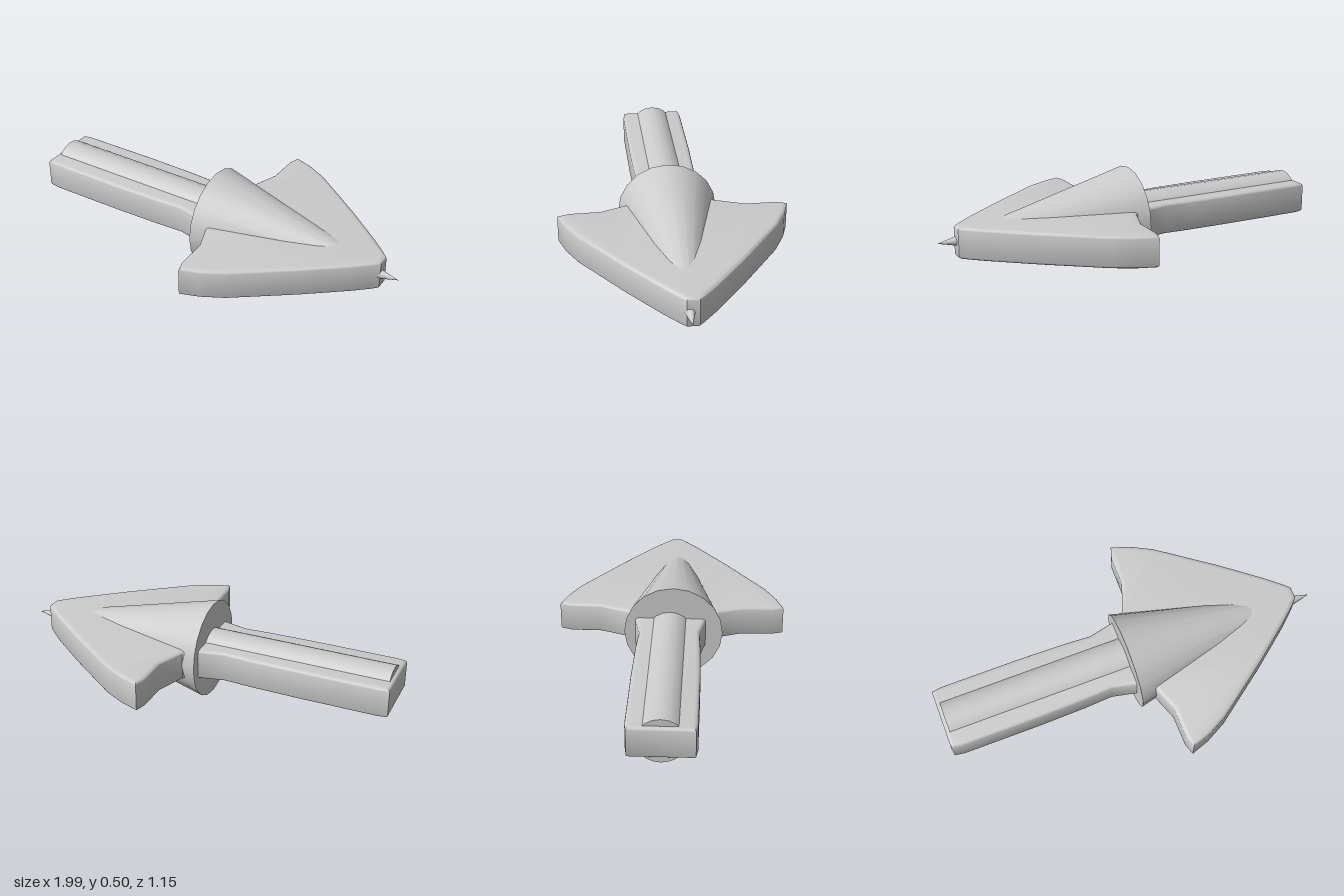
import * as THREE from 'three';
import { toCreasedNormals } from 'three/addons/utils/BufferGeometryUtils.js';

export function createModel() {
  const group = new THREE.Group();
  const material = new THREE.MeshStandardMaterial({ color: 0xcccccc });
  const midY = 0.255;

  const add = (name, geometry, x, y, z) => {
    const mesh = new THREE.Mesh(geometry, material);
    mesh.name = name;
    mesh.position.set(x, y, z);
    group.add(mesh);
  };

  // Flat arrow plate: half outline (x, z) mirrored about the long axis, softly bevelled
  const half = [
    [-1, 0.155], [-0.95, 0.163], [-0.55, 0.163], [-0.3, 0.158], [-0.16, 0.15], [-0.03, 0.178],
    [0.04, 0.215], [0.095, 0.365], [0.097, 0.52], [0.115, 0.577], [0.21, 0.545],
    [0.32, 0.487], [0.6, 0.281], [0.8, 0.122], [0.87, 0.06], [0.9, 0.03],
  ];
  const mirrored = half.map(([x, z]) => [x, -z]).reverse();
  const outline = new THREE.Shape([...half, ...mirrored].map(([x, z]) => new THREE.Vector2(x, z)));
  const bevel = 0.014, thickness = 0.16;
  const plate = new THREE.ExtrudeGeometry(outline, {
    depth: thickness - 2 * bevel,
    bevelThickness: bevel,
    bevelSize: 0.022,
    bevelOffset: -0.022,
    bevelSegments: 3,
  });
  plate.translate(0, 0, -(thickness / 2 - bevel));
  plate.rotateX(Math.PI / 2);
  add('arrowPlate', toCreasedNormals(plate, 0.7), 0, midY, -0.002);

  // Cone running through the head, its point emerging at the front
  const cone = new THREE.ConeGeometry(0.25, 1.02, 20);
  cone.rotateZ(-Math.PI / 2);
  add('headCone', cone, 0.48, midY, 0.013);

  // Round rod along the shaft
  const rod = new THREE.CylinderGeometry(0.115, 0.115, 0.97, 20);
  rod.rotateZ(-Math.PI / 2);
  add('shaftRod', rod, -0.495, midY, -0.004);

  return group;
}
